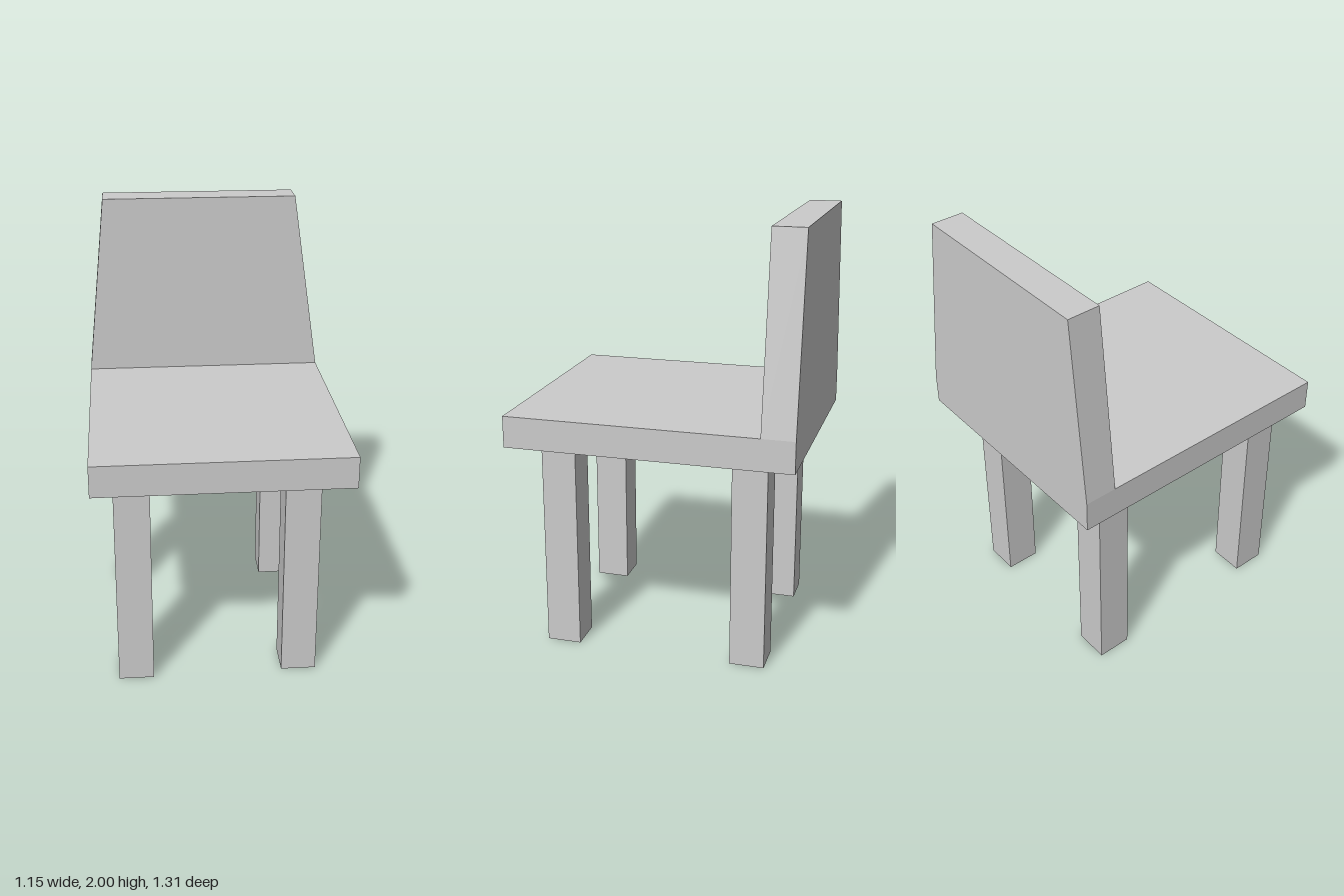
import * as THREE from 'three';

const material = new THREE.MeshStandardMaterial({ color: 0xcccccc, flatShading: true });

// Box given by its lower and upper corners
function box(name, [x0, y0, z0], [x1, y1, z1]) {
  const geometry = new THREE.BoxGeometry(x1 - x0, y1 - y0, z1 - z0);
  geometry.translate((x0 + x1) / 2, (y0 + y1) / 2, (z0 + z1) / 2);
  const mesh = new THREE.Mesh(geometry, material);
  mesh.name = name;
  return mesh;
}

export function createModel() {
  const chair = new THREE.Group();
  chair.name = 'chair';

  const halfWidth = 0.573, halfDepth = 0.655;
  const seatBottom = 0.995, seatTop = 1.14;

  // Seat slab
  chair.add(box('seat', [-halfWidth, seatBottom, -halfDepth], [halfWidth, seatTop, halfDepth]));

  // Backrest: slightly uneven trapezoid, flush with the seat's rear and sides
  const outline = new THREE.Shape([
    new THREE.Vector2(-halfWidth, seatTop),
    new THREE.Vector2(halfWidth, seatTop),
    new THREE.Vector2(0.445, 2),
    new THREE.Vector2(-0.485, 2),
  ]);
  const backGeometry = new THREE.ExtrudeGeometry(outline, { depth: 0.15, bevelEnabled: false });
  backGeometry.translate(0, 0, -halfDepth);
  const backrest = new THREE.Mesh(backGeometry, material);
  backrest.name = 'backrest';
  chair.add(backrest);

  // Four square legs, placed by their centres
  const half = 0.08;
  const legs = [
    ['frontLeftLeg', 0.36, 0.45],
    ['frontRightLeg', -0.396, 0.465],
    ['backLeftLeg', 0.36, -0.435],
    ['backRightLeg', -0.396, -0.435],
  ];
  for (const [name, x, z] of legs) {
    chair.add(box(name, [x - half, 0, z - half], [x + half, seatBottom, z + half]));
  }

  return chair;
}
